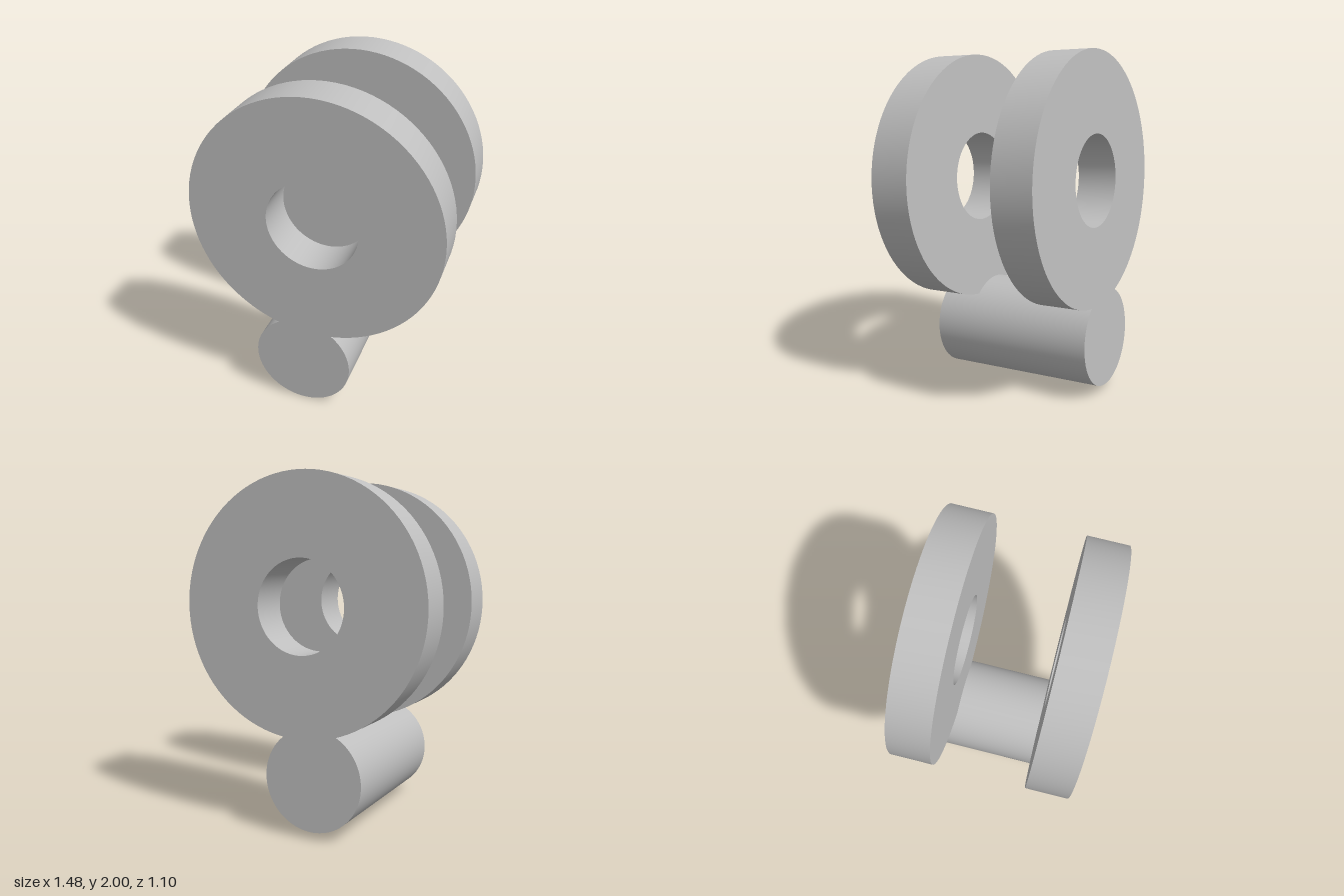
import * as THREE from 'three';
import { toCreasedNormals } from 'three/addons/utils/BufferGeometryUtils.js';

const SEGMENTS = 96;
const LENGTH = 1.005; // overall length along the shared axis
const RING = { outer: 0.724, inner: 0.263, thickness: 0.24 };
const PIN_RADIUS = 0.29;

// Square-edged washer around the y axis
function ringGeometry({ outer, inner, thickness }) {
  const h = thickness / 2;
  const profile = [[inner, -h], [outer, -h], [outer, h], [inner, h], [inner, -h]]
    .map(([r, y]) => new THREE.Vector2(r, y));
  return toCreasedNormals(new THREE.LatheGeometry(profile, SEGMENTS), 0.5);
}

export function createModel() {
  const model = new THREE.Group();
  model.name = 'doubleRingBracket';
  const grey = new THREE.MeshStandardMaterial({ color: 0xbfbfbf });
  grey.name = 'grey';

  // All parts share one slightly tilted axis, pointing to the front
  const axis = new THREE.Vector3(-0.033, -0.042, 1).normalize();
  const tilt = new THREE.Quaternion().setFromUnitVectors(new THREE.Vector3(0, 1, 0), axis);
  const ringCentre = new THREE.Vector3(0, 1.257, 0.012);
  const pinCentre = ringCentre.clone().add(new THREE.Vector3(-0.09, -0.941, -0.0425));

  function addPart(name, geometry, centre, along) {
    const mesh = new THREE.Mesh(geometry, grey);
    mesh.name = name;
    mesh.quaternion.copy(tilt);
    mesh.position.copy(centre).addScaledVector(axis, along);
    model.add(mesh);
  }

  // Two rings, flush with the ends of the pin
  const ring = ringGeometry(RING);
  const offset = (LENGTH - RING.thickness) / 2;
  addPart('frontRing', ring, ringCentre, offset);
  addPart('backRing', ring, ringCentre, -offset);

  // Pin joining the rings along their lower edge
  addPart('pin', new THREE.CylinderGeometry(PIN_RADIUS, PIN_RADIUS, LENGTH, SEGMENTS), pinCentre, 0);

  return model;
}
